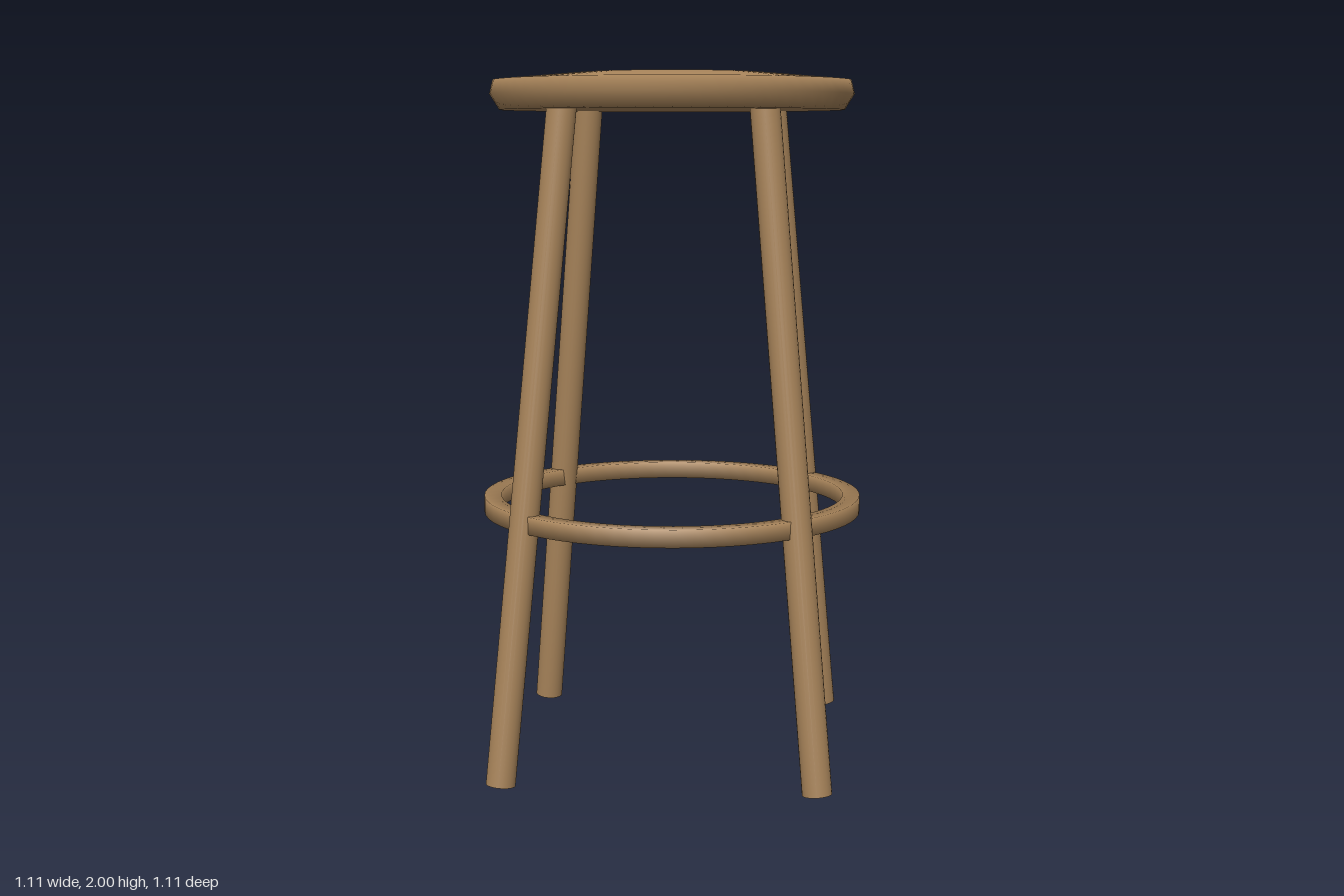
import * as THREE from 'three';
import { mergeVertices } from 'three/addons/utils/BufferGeometryUtils.js';

const wood = new THREE.MeshStandardMaterial({ name: 'wood', color: 0xa8845a });

function part(name, geometry) {
  const mesh = new THREE.Mesh(geometry, wood);
  mesh.name = name;
  return mesh;
}

const profile = (points) => points.map(([r, y]) => new THREE.Vector2(r, y));

// Round seat: flat underside, bulging rim, softly domed top
function createSeat() {
  return part('seat', new THREE.LatheGeometry(profile([
    [0, 1.89], [0.497, 1.89], [0.525, 1.935], [0.515, 1.975], [0.27, 1.996], [0, 2],
  ]), 64));
}

// Footrest hoop: square section with softened shading
function createFootRing() {
  const inner = 0.505, outer = 0.555, low = 0.72, high = 0.77;
  const lathe = new THREE.LatheGeometry(profile([
    [inner, low], [outer, low], [outer, high], [inner, high], [inner, low],
  ]), 64);
  lathe.deleteAttribute('normal');
  lathe.deleteAttribute('uv');
  const ring = mergeVertices(lathe, 1e-4);
  ring.computeVertexNormals();
  return part('footRing', ring);
}

// Straight round leg splayed outward along the diagonal
function createLeg(name, sx, sz) {
  const foot = new THREE.Vector3(0.445 * sx, 0.005, 0.445 * sz);
  const top = new THREE.Vector3(0.278 * sx, 1.92, 0.278 * sz);
  const axis = top.clone().sub(foot);
  const leg = part(name, new THREE.CylinderGeometry(0.042, 0.042, axis.length(), 24));
  leg.position.copy(foot).add(top).multiplyScalar(0.5);
  leg.quaternion.setFromUnitVectors(new THREE.Vector3(0, 1, 0), axis.normalize());
  return leg;
}

export function createModel() {
  const stool = new THREE.Group();
  stool.name = 'stool';
  stool.add(createSeat(), createFootRing());
  for (const [side, sx] of [['Left', 1], ['Right', -1]]) {
    for (const [end, sz] of [['front', 1], ['back', -1]]) {
      stool.add(createLeg(`${end}${side}Leg`, sx, sz));
    }
  }
  return stool;
}
